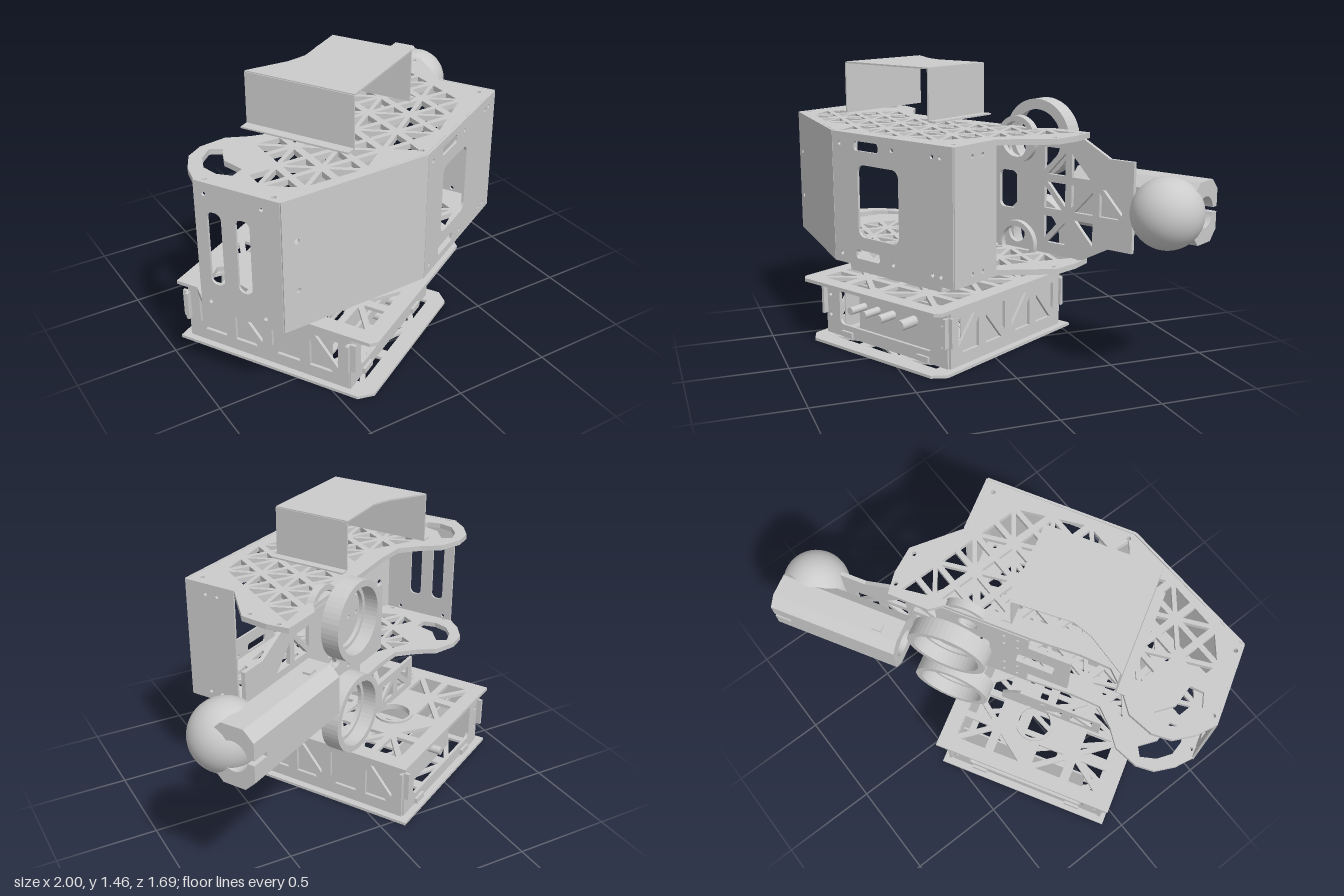
import * as THREE from 'three';

const mat = new THREE.MeshStandardMaterial({ color: 0xcccccc, side: THREE.DoubleSide });
const V = (x, y) => new THREE.Vector2(x, y);
const pts = (list) => list.map(([x, y]) => V(x, y));

function add(parent, geo, name, x = 0, y = 0, z = 0) {
  const m = new THREE.Mesh(geo, mat);
  m.name = name;
  m.position.set(x, y, z);
  parent.add(m);
  return m;
}

// ---- hole helpers ----
function circle(x, y, r) {
  const p = new THREE.Path();
  p.absarc(x, y, r, 0, Math.PI * 2, true);
  return p;
}

function slot(x0, y0, x1, y1, r) {
  const p = new THREE.Path();
  p.absarc(x0 + r, y0 + r, r, Math.PI, Math.PI * 1.5);
  p.absarc(x1 - r, y0 + r, r, Math.PI * 1.5, Math.PI * 2);
  p.absarc(x1 - r, y1 - r, r, 0, Math.PI / 2);
  p.absarc(x0 + r, y1 - r, r, Math.PI / 2, Math.PI);
  p.closePath();
  return p;
}

function inside(p, poly) {
  let c = false;
  for (let i = 0, j = poly.length - 1; i < poly.length; j = i++) {
    const a = poly[i], b = poly[j];
    if ((a.y > p.y) !== (b.y > p.y) && p.x < ((b.x - a.x) * (p.y - a.y)) / (b.y - a.y) + a.x) c = !c;
  }
  return c;
}

function edgeDistance(p, poly) {
  let d = Infinity;
  poly.forEach((a, i) => {
    const ab = poly[(i + 1) % poly.length].clone().sub(a);
    const t = Math.min(1, Math.max(0, p.clone().sub(a).dot(ab) / ab.lengthSq()));
    d = Math.min(d, a.clone().addScaledVector(ab, t).distanceTo(p));
  });
  return d;
}

// Triangular lightening holes on a grid, kept clear of the outline and of the given circles [x, y, r]
function truss(poly, cw, ch, margin, avoid = [], shrink = 0.66) {
  const box = new THREE.Box2().setFromPoints(poly);
  const size = box.getSize(V(0, 0)).subScalar(margin * 2);
  const nx = Math.max(1, Math.round(size.x / cw)), ny = Math.max(1, Math.round(size.y / ch));
  const dx = size.x / nx, dy = size.y / ny, holes = [];
  for (let i = 0; i < nx; i++) for (let j = 0; j < ny; j++) {
    const x = box.min.x + margin + i * dx, y = box.min.y + margin + j * dy;
    const q = [V(x, y), V(x + dx, y), V(x + dx, y + dy), V(x, y + dy)];
    const k = (i + j) % 2;
    for (const ids of [[k, k + 1, k + 2], [k, k + 2, (k + 3) % 4]]) {
      const t = ids.map((n) => q[n % 4]);
      const c = t[0].clone().add(t[1]).add(t[2]).divideScalar(3);
      const s = t.map((p) => p.clone().lerp(c, 1 - shrink));
      const clear = s.every((p) => inside(p, poly) && edgeDistance(p, poly) > margin * 0.8
        && avoid.every(([ax, ay, r]) => p.distanceTo(V(ax, ay)) > r))
        && poly.every((p) => p.distanceTo(c) > margin);
      if (clear) holes.push(new THREE.Path(s));
    }
  }
  return holes;
}

function extrude(poly, holes, depth) {
  const shape = new THREE.Shape(poly);
  shape.holes.push(...holes);
  return new THREE.ExtrudeGeometry(shape, { depth, bevelEnabled: false, curveSegments: 16 });
}

// Horizontal plate: outline given as [x, z]; holes are in (x, -z)
function plate(parent, name, outline, y, t, holesFor = () => []) {
  const poly = pts(outline.map(([x, z]) => [x, -z]));
  return add(parent, extrude(poly, holesFor(poly), t).rotateX(-Math.PI / 2), name, 0, y, 0);
}

// Upright panel running from plan point a to b; outline is in (distance along, y)
function wall(parent, name, a, b, outline, t, holesFor = () => []) {
  const poly = pts(outline);
  const geo = extrude(poly, holesFor(poly), t).translate(0, 0, -t / 2);
  const m = add(parent, geo, name, a[0], 0, a[1]);
  m.rotation.y = Math.atan2(a[1] - b[1], b[0] - a[0]);
  return m;
}
const rect = (x0, y0, x1, y1) => [[x0, y0], [x1, y0], [x1, y1], [x0, y1]];
const span = (a, b) => Math.hypot(b[0] - a[0], b[1] - a[1]);

function ring(parent, name, R, r, w, x, y, z) {
  const prof = pts([[r, -w / 2], [R, -w / 2], [R, w / 2], [r, w / 2], [r, -w / 2]]);
  const geo = new THREE.LatheGeometry(prof, 48).toNonIndexed().rotateX(Math.PI / 2);
  geo.computeVertexNormals();
  const m = add(parent, geo, name, x, y, z);
  m.rotation.y = Math.PI / 6;
  return m;
}

function buildBase(root) {
  const g = new THREE.Group();
  g.name = 'base';
  g.position.set(-0.265, 0, 0.14);
  g.rotation.y = Math.PI / 6;
  root.add(g);
  const outline = (x0, x1, z0, z1, c) => [[x0, z0], [x1, z0], [x1, z1 - c], [x1 - c, z1], [x0 + c, z1], [x0, z1 - c]];
  plate(g, 'baseBottomPlate', outline(-0.465, 0.48, -0.525, 0.53, 0.06), 0, 0.015, (p) => truss(p, 0.24, 0.13, 0.07));
  plate(g, 'baseTopPlate', outline(-0.465, 0.5, -0.525, 0.56, 0.03), 0.325, 0.018, (p) =>
    [circle(0.06, 0.22, 0.085), ...truss(p, 0.2, 0.17, 0.06, [[0.06, 0.22, 0.11]])]);
  ring(g, 'turntableRing', 0.1, 0.085, 0.02, 0.06, 0.345, -0.22).rotation.set(Math.PI / 2, 0, 0);
  const screws = [0.03, 0.83].flatMap((x) => [0.12, 0.23].map((y) => circle(x, y, 0.01)));
  const zFront = 0.41, zBack = -0.48;
  // trussed sides with a closed backing
  for (const x of [-0.425, 0.435]) {
    wall(g, 'baseSideWall', [x, zBack], [x, zFront], rect(0, 0.015, 0.89, 0.325), 0.016,
      (p) => truss(p, 0.22, 0.25, 0.03, [], 0.6));
    const back = x - Math.sign(x) * 0.018;
    wall(g, 'sideBacking', [back, zBack + 0.03], [back, zFront - 0.1], rect(0, 0.015, 0.76, 0.325), 0.006);
  }
  // windowed front and back with a recessed inner panel, plus end tabs and feet
  for (const z of [zFront, zBack]) {
    const s = Math.sign(z);
    wall(g, 'baseWindowWall', [-0.43, z], [0.43, z], rect(0, 0.015, 0.86, 0.325), 0.016,
      () => [slot(0.1, 0.08, 0.76, 0.28, 0.03), ...screws]);
    wall(g, 'connectorPanel', [-0.29, z - s * 0.1], [0.4, z - s * 0.1], rect(0, 0.015, 0.69, 0.325), 0.01);
    for (const e of [-1, 1]) {
      add(g, new THREE.BoxGeometry(0.03, 0.15, 0.016), 'wallTab', e * 0.445, 0.2, z);
      add(g, new THREE.BoxGeometry(0.016, 0.15, 0.03), 'wallTab', e * 0.43, 0.2, z + s * 0.02);
      add(g, new THREE.BoxGeometry(0.08, 0.03, 0.02), 'wallFoot', e * 0.27, 0.035, z + s * 0.012);
    }
  }
  // connectors behind the windows
  [[-0.25, 0.36, 0.02], [-0.15, 0.36, 0.02], [-0.04, 0.36, 0.023], [0.11, 0.36, 0.028], [0, -0.42, 0.022]].forEach(([x, z, r]) =>
    add(g, new THREE.CylinderGeometry(r, r, 0.12, 20).rotateX(Math.PI / 2), 'connector', x, 0.165, z));
  // risers that carry the upper body
  for (const [z, start, cut] of [[0.28, 0, 0], [-0.14, 0.1, 0.1]]) {
    wall(g, 'riser', [-0.375, z], [0.275, z],
      [[start, 0.34], [0.65, 0.34], [0.65, 0.42], [0.65 - cut, 0.52], [start, 0.52]], 0.016,
      (p) => truss(p, 0.16, 0.17, 0.02, [], 0.55));
  }
}

function buildBody(root) {
  const g = new THREE.Group();
  g.name = 'upperBody';
  root.add(g);
  const outline = [[-1, 0.4], [-0.98, 0.3], [-0.93, 0.2], [-0.85, 0.145], [-0.72, 0.125], [-0.62, 0.17], [-0.5, 0.2], [-0.36, 0.13],
    [-0.16, 0.0], [0.22, -0.22], [0.25, -0.29], [0.43, -0.39], [0.5, -0.3], [0.56, -0.17], [0.48, 0.1], [0.62, 0.35],
    [-0.05, 0.725], [-0.79, 0.755]];
  const crescent = [[-0.92, 0.33], [-0.89, 0.25], [-0.83, 0.19], [-0.78, 0.22], [-0.82, 0.32], [-0.79, 0.43], [-0.85, 0.46], [-0.9, 0.41]];
  const screwsAt = [[-0.79, 0.71], [-0.96, 0.42], [0.55, 0.33], [0.45, -0.33], [0.52, -0.17], [-0.05, 0.69]];
  const holes = (p) => [new THREE.Path(pts(crescent.map(([x, z]) => [x, -z]))),
    ...truss(p, 0.16, 0.125, 0.04, [[-0.85, -0.32, 0.17]], 0.66), ...screwsAt.map(([x, z]) => circle(x, -z, 0.011))];
  plate(g, 'lowerPlate', outline, 0.515, 0.027, holes);
  plate(g, 'upperPlate', outline, 1.127, 0.027, holes);

  // wrap-around shield
  const corners = [[-1, 0.4], [-0.79, 0.76], [-0.05, 0.735], [0.625, 0.355], [0.48, 0.105]];
  const screws = (xs) => xs.flatMap((x) => [0.56, 1.1].map((y) => circle(x, y, 0.01)));
  const cuts = [
    [slot(0.06, 0.66, 0.13, 1.02, 0.03), slot(0.2, 0.66, 0.27, 1.02, 0.03), ...screws([0.05, 0.33])],
    [circle(0.07, 0.71, 0.013), circle(0.07, 0.95, 0.013)],
    [slot(0.17, 0.66, 0.44, 1.01, 0.04), slot(0.15, 1.075, 0.31, 1.12, 0.015), slot(0.15, 0.55, 0.31, 0.595, 0.015), ...screws([0.05, 0.4, 0.65, 0.7])],
    screws([0.12, 0.19]),
  ];
  cuts.forEach((c, i) => wall(g, 'shieldPanel', corners[i], corners[i + 1],
    rect(0, 0.515, span(corners[i], corners[i + 1]), 1.155), 0.012, () => c));

  // inner upright panel with a tongue at one end and the arm bracket at the other
  wall(g, 'armPanel', [-0.15, 0], [0.7, -0.49],
    [[0, 0.54], [0.7, 0.54], [0.85, 0.62], [0.98, 0.62], [0.98, 1.05], [0.85, 1.05], [0.7, 1.13], [0, 1.13],
      [0, 1.02], [-0.22, 1.02], [-0.22, 0.65], [0, 0.65]], 0.02,
    (p) => [slot(-0.14, 0.78, 0.06, 0.89, 0.01), slot(0.2, 0.74, 0.31, 0.93, 0.03), circle(0.31, 1.05, 0.05), circle(0.31, 0.62, 0.05),
      ...truss(p, 0.16, 0.19, 0.04, [[0.1, 0.6, 0.35], [0.1, 0.84, 0.35], [0.1, 1.07, 0.35]]),
      ...[0.05, 0.12].flatMap((x) => [0.6, 0.7, 0.97, 1.07].map((y) => circle(x, y, 0.01)))]);

  // wheels through the back of the body
  for (const [yBig, ySmall] of [[1.083, 1.095], [0.587, 0.57]]) {
    ring(g, 'wheelRing', 0.197, 0.165, 0.09, 0.065, yBig, -0.305);
    ring(g, 'wheelRim', 0.167, 0.145, 0.02, 0.083, yBig, -0.275);
    ring(g, 'bearingRing', 0.115, 0.088, 0.04, 0.14, ySmall, -0.145);
  }
}

function buildHood(root) {
  const g = new THREE.Group();
  g.name = 'hood';
  root.add(g);
  const a = [-0.61, 0.13], b = [-0.34, 0.6], c = [0.145, 0.32], d = [-0.06, -0.035];
  plate(g, 'hoodTop', [a, b, c, d, [-0.3, 0.12], [-0.4, 0.14]], 1.447, 0.008);
  wall(g, 'hoodLeg', a, b, rect(0, 1.2, span(a, b), 1.45), 0.008);
  wall(g, 'hoodLeg', c, d, rect(0, 1.2, span(c, d), 1.45), 0.008);
  plate(g, 'hoodFlange', [a, b, [-0.385, 0.625], [-0.655, 0.155]], 1.197, 0.008);
  plate(g, 'hoodFlange', [c, d, [-0.02, -0.06], [0.185, 0.295]], 1.197, 0.008);
}

function buildArm(root) {
  const g = new THREE.Group();
  g.name = 'arm';
  g.position.set(0.59, 0.833, -0.595);
  g.rotation.y = Math.PI / 6;
  root.add(g);
  // chamfered bored bar ending in a split clamp
  const w = 0.107, h = 0.145, c = 0.05, s = 0.012, r = 0.073, t = Math.asin(s / r);
  const octagon = [[w, h - c], [w - c, h], [c - w, h], [-w, h - c], [-w, c - h], [c - w, -h], [w - c, -h], [w, c - h]];
  const bar = extrude(pts(octagon), [circle(0, 0, r)], 0.57);
  add(g, bar.rotateY(Math.PI / 2).translate(-0.335, 0, 0), 'bar');
  const split = new THREE.Shape(pts([[w, s], ...octagon, [w, -s]]));
  split.absarc(0, 0, r, -t, t, true);
  split.closePath();
  const clamp = new THREE.ExtrudeGeometry(split, { depth: 0.09, bevelEnabled: false, curveSegments: 24 });
  add(g, clamp.rotateY(Math.PI / 2).translate(0.235, 0, 0), 'splitClamp');
  add(g, new THREE.BoxGeometry(0.05, 0.02, 0.04), 'clampLug', -0.22, h, -0.02);
  add(root, new THREE.SphereGeometry(0.168, 40, 28), 'ball', 0.83, 0.833, -0.587);
}

export function createModel() {
  const root = new THREE.Group();
  root.name = 'modularRobot';
  [buildBase, buildBody, buildHood, buildArm].forEach((build) => build(root));
  return root;
}
